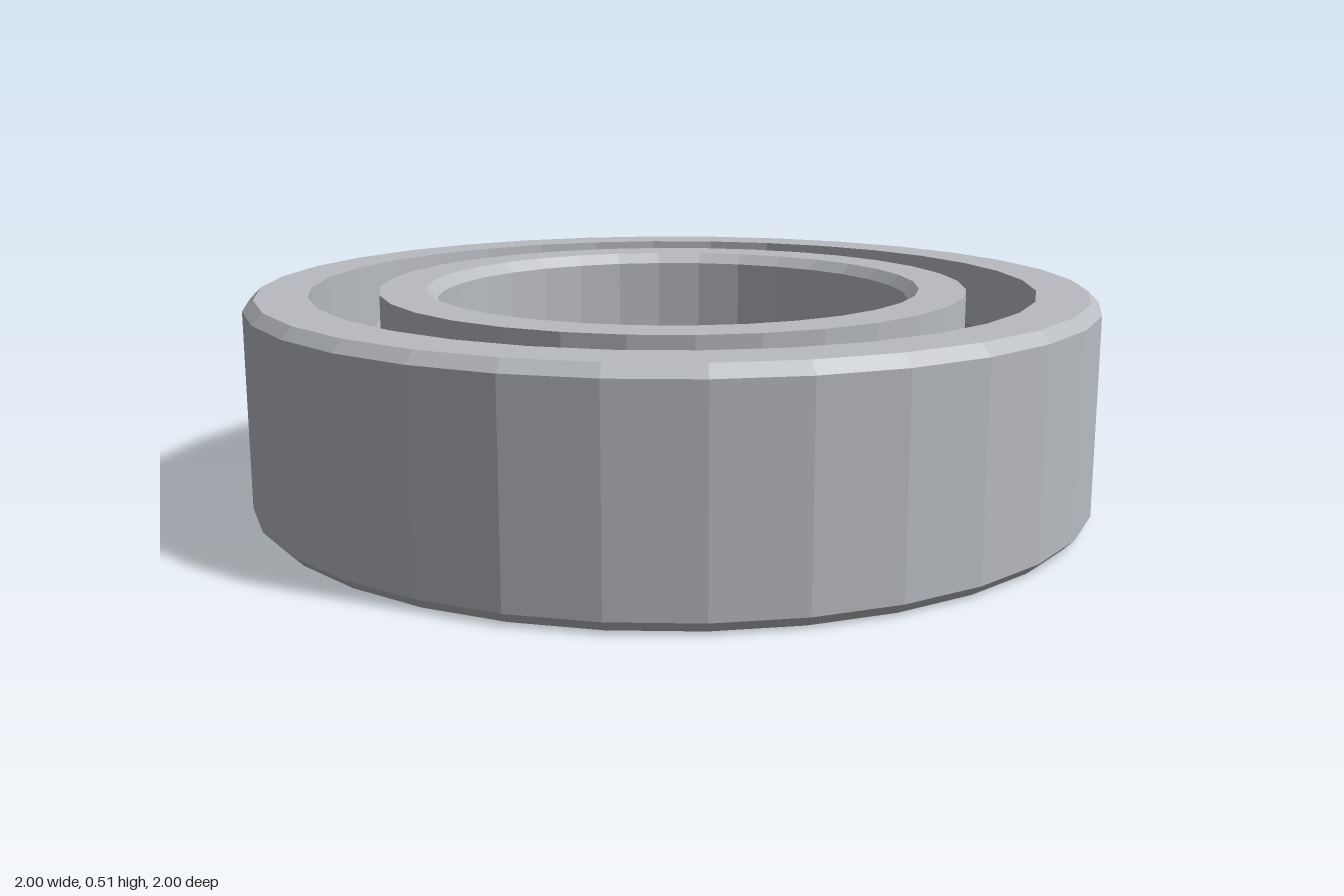
import * as THREE from 'three';

const H = 0.51, BALLS = 14, PITCH = 0.775, BALL_R = 0.123, GROOVE_R = 0.126, C = 0.025;

// Faceted normals on any geometry
function faceted(geometry) {
  const g = geometry.index ? geometry.toNonIndexed() : geometry;
  g.computeVertexNormals();
  return g;
}

// Points of the raceway groove between the angles, in the (radius, height) plane
function groove(from, to, steps = 8) {
  return Array.from({ length: steps + 1 }, (_, i) => {
    const a = from + (to - from) * i / steps;
    return [PITCH + GROOVE_R * Math.cos(a), H / 2 + GROOVE_R * Math.sin(a)];
  });
}

// Closed counter-clockwise profile turned into a ring
function ring(name, profile, material) {
  const points = [...profile, profile[0]].map(([r, y]) => new THREE.Vector2(r, y));
  const mesh = new THREE.Mesh(faceted(new THREE.LatheGeometry(points, 32)), material);
  mesh.name = name;
  return mesh;
}

export function createModel() {
  const group = new THREE.Group();
  group.name = 'ballBearing';
  const steel = new THREE.MeshStandardMaterial({ color: 0xb8bbc0 });
  steel.name = 'steel';

  // Half angle of the groove where it meets the ring shoulders
  const half = Math.acos(0.08 / GROOVE_R);
  const outerWall = PITCH + 0.08, innerWall = PITCH - 0.08;

  // Outer ring: chamfered outside, groove inside
  group.add(ring('outerRing', [
    [outerWall, 0], [1 - C, 0], [1, C], [1, H - C], [1 - C, H], [outerWall, H],
    ...groove(half, -half),
  ], steel));

  // Inner ring: chamfered bore, groove outside
  group.add(ring('innerRing', [
    [0.56, H - C], [0.56, C], [0.56 + C, 0], [innerWall, 0],
    ...groove(Math.PI + half, Math.PI - half),
    [innerWall, H], [0.56 + C, H],
  ], steel));

  // Balls
  const ballGeometry = faceted(new THREE.IcosahedronGeometry(BALL_R, 3));
  ballGeometry.rotateX(-Math.atan(1.618));
  const balls = new THREE.Group();
  balls.name = 'balls';
  for (let i = 0; i < BALLS; i++) {
    const a = i / BALLS * Math.PI * 2;
    const ball = new THREE.Mesh(ballGeometry, steel);
    ball.name = 'ball' + (i + 1);
    ball.position.set(PITCH * Math.cos(a), H / 2, PITCH * Math.sin(a));
    ball.rotation.y = -a;
    balls.add(ball);
  }
  group.add(balls);
  return group;
}
